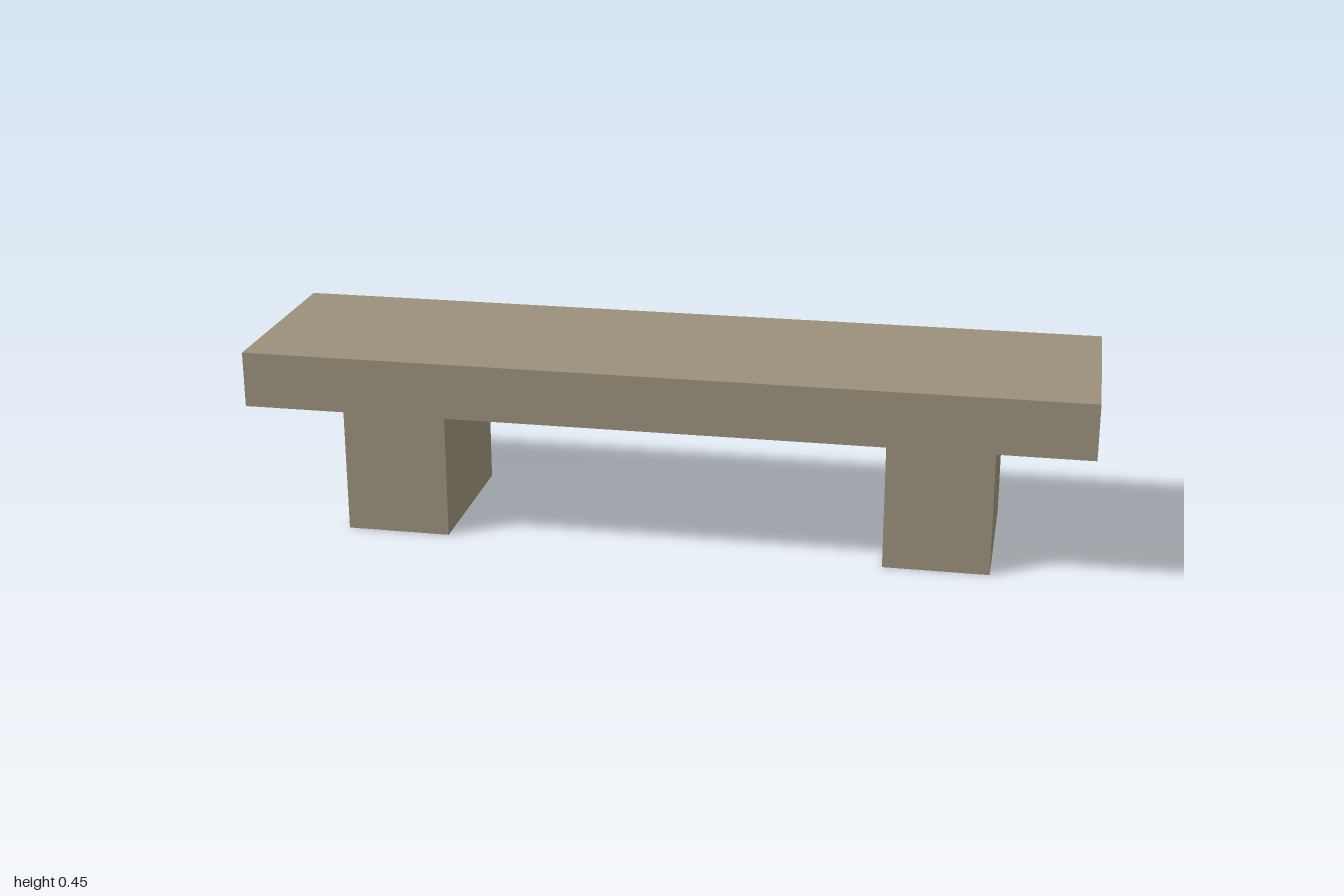
import * as THREE from 'three';

export function createModel() {
  const bench = new THREE.Group();
  bench.name = 'bench';
  const stone = new THREE.MeshStandardMaterial({ color: 0x9a907a });
  stone.name = 'stone';

  const legHeight = 0.318;
  const slabHeight = 0.134;

  // Box resting on the given base height
  function block(name, width, height, depth, x, base) {
    const mesh = new THREE.Mesh(new THREE.BoxGeometry(width, height, depth), stone);
    mesh.name = name;
    mesh.position.set(x, base + height / 2, 0);
    bench.add(mesh);
  }

  // Seat slab
  block('seat', 2, slabHeight, 0.502, 0, legHeight);

  // Mirrored support blocks
  for (const side of [-1, 1]) {
    block(side > 0 ? 'leftLeg' : 'rightLeg', 0.25, legHeight, 0.4, side * 0.65, 0);
  }

  return bench;
}
